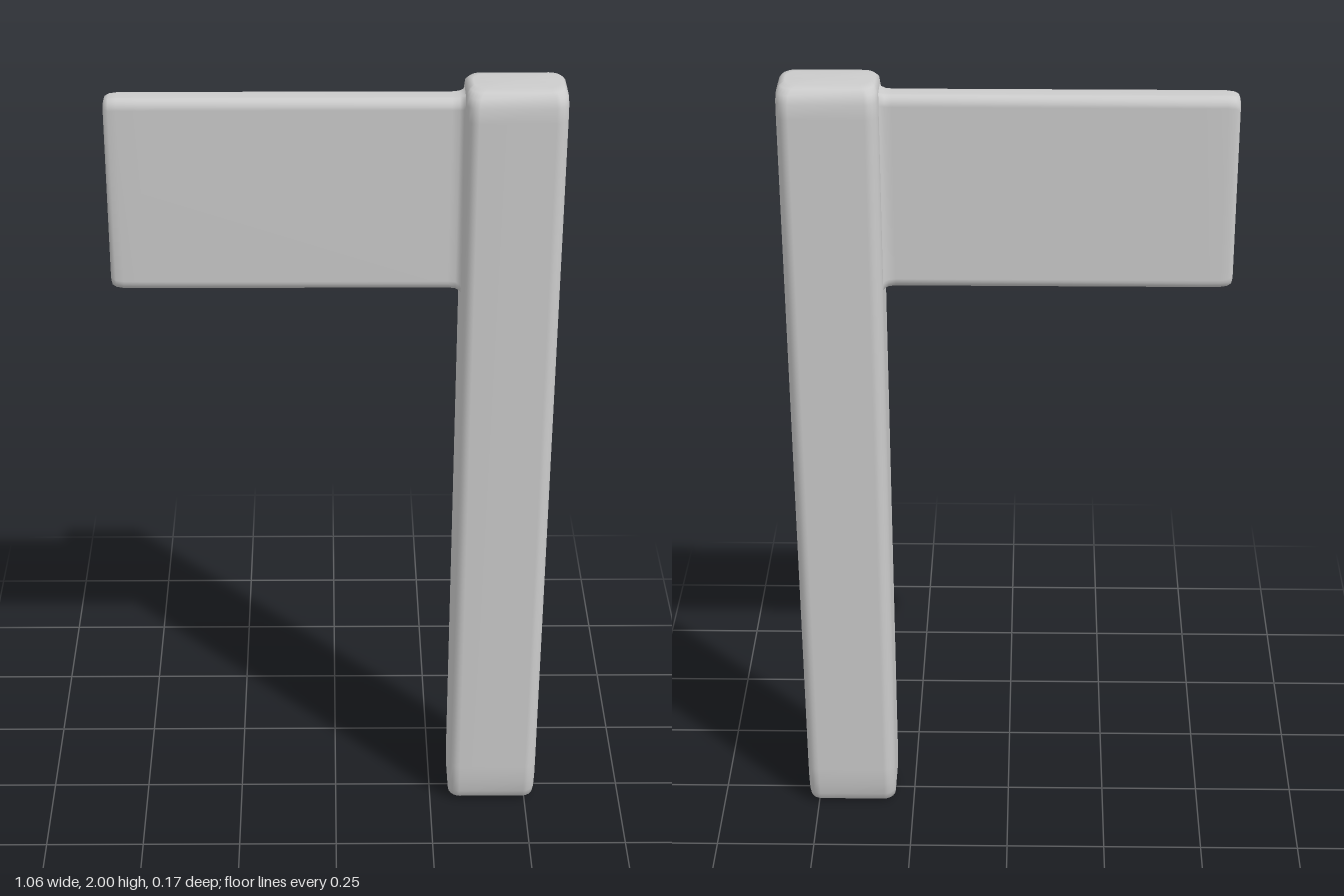
import * as THREE from 'three';

const CORNER_STEPS = 5;

// Rounded-rectangle outline, counter-clockwise, half sizes a and b, corner radii ra and rb
function outline(a, b, ra, rb) {
  const points = [];
  [[1, 1], [-1, 1], [-1, -1], [1, -1]].forEach(([sx, sy], corner) => {
    for (let i = 0; i <= CORNER_STEPS; i++) {
      const angle = (corner + i / CORNER_STEPS) * Math.PI / 2;
      points.push([sx * (a - ra) + ra * Math.cos(angle), sy * (b - rb) + rb * Math.sin(angle)]);
    }
  });
  return points;
}

// Smooth closed skin along +z through sections [z, halfX, halfY]
function loft(sections, ra, rb) {
  const positions = [], index = [];
  const n = 4 * (CORNER_STEPS + 1);
  for (const [z, a, b] of sections) {
    for (const [x, y] of outline(a, b, ra, rb)) positions.push(x, y, z);
  }
  for (let s = 0; s < sections.length - 1; s++) {
    for (let i = 0; i < n; i++) {
      const p = s * n + i, q = s * n + (i + 1) % n;
      index.push(p, q, q + n, p, q + n, p + n);
    }
  }
  // End caps
  const first = positions.length / 3, last = (sections.length - 1) * n;
  positions.push(0, 0, sections[0][0], 0, 0, sections[sections.length - 1][0]);
  for (let i = 0; i < n; i++) {
    const j = (i + 1) % n;
    index.push(first, j, i, first + 1, last + i, last + j);
  }
  const geometry = new THREE.BufferGeometry();
  geometry.setAttribute('position', new THREE.Float32BufferAttribute(positions, 3));
  geometry.setIndex(index);
  geometry.computeVertexNormals();
  return geometry;
}

export function createModel() {
  const group = new THREE.Group();
  const material = new THREE.MeshStandardMaterial({ color: 0xcccccc });

  // Upright post with softly rounded ends: [y, half width, half depth]
  const postGeometry = loft([
    [0, 0.095, 0.04], [0.004, 0.106, 0.057], [0.013, 0.112, 0.07],
    [0.035, 0.114, 0.078], [0.07, 0.115, 0.083], [0.12, 0.115, 0.087],
    [1.93, 0.117, 0.087], [1.965, 0.117, 0.084], [1.985, 0.115, 0.077],
    [1.996, 0.108, 0.063], [2, 0.098, 0.045],
  ], 0.03, 0.035);
  postGeometry.rotateX(-Math.PI / 2);
  const post = new THREE.Mesh(postGeometry, material);
  post.name = 'post';
  post.position.set(0.411, 0, -0.001);
  group.add(post);

  // Thin side panel, rounded at the tip and flared into the post: [x, half depth, half height]
  const panelGeometry = loft([
    [-0.53, 0.023, 0.226], [-0.527, 0.029, 0.234], [-0.518, 0.033, 0.238],
    [-0.5, 0.035, 0.24], [-0.45, 0.036, 0.24], [0.265, 0.036, 0.24],
    [0.282, 0.038, 0.241], [0.292, 0.043, 0.244], [0.298, 0.055, 0.25],
    [0.304, 0.065, 0.256], [0.33, 0.068, 0.256],
  ], 0.022, 0.025);
  panelGeometry.rotateY(Math.PI / 2);
  const panel = new THREE.Mesh(panelGeometry, material);
  panel.name = 'sidePanel';
  panel.position.set(0, 1.728, -0.001);
  group.add(panel);

  return group;
}
